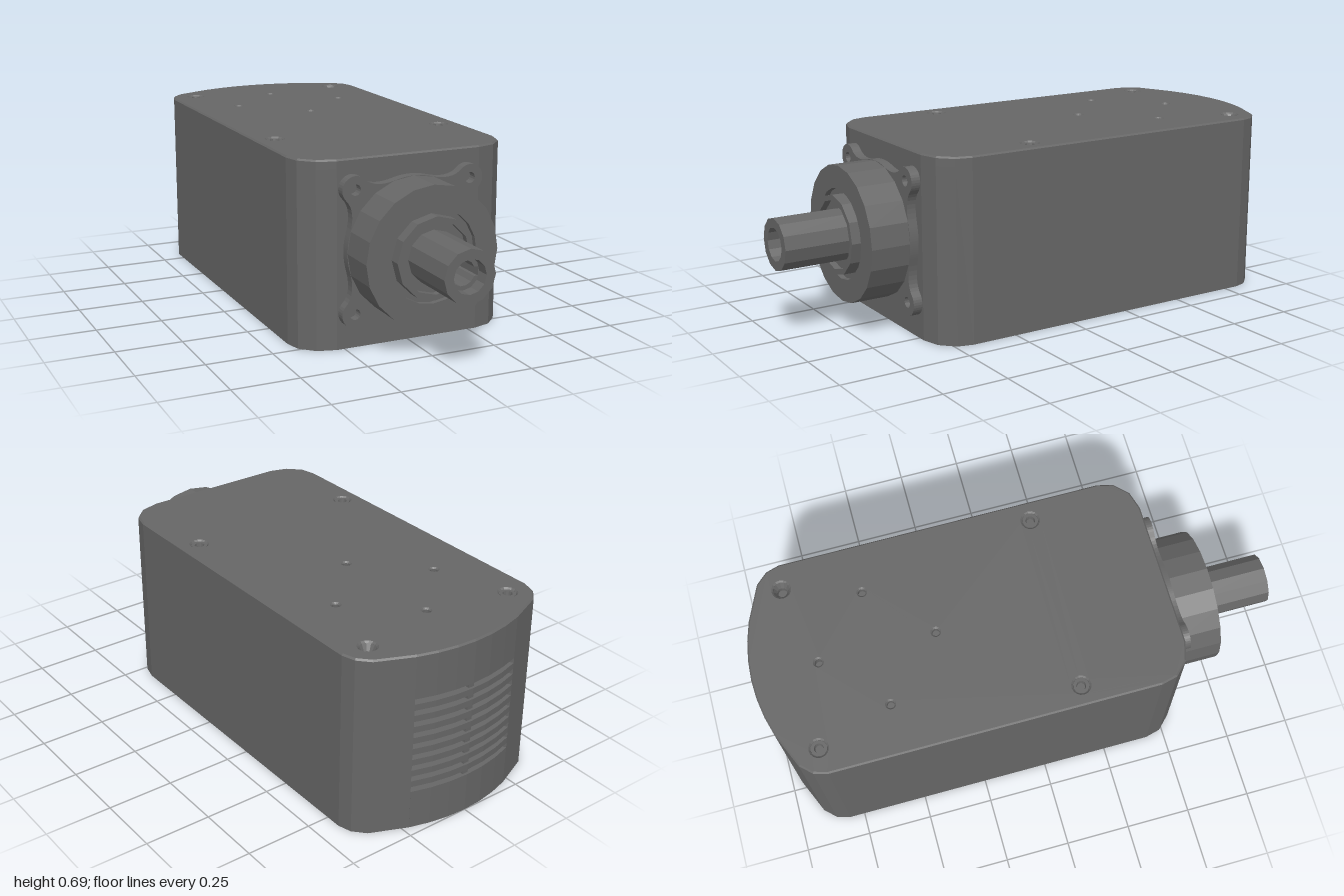
import * as THREE from 'three';

const mat = new THREE.MeshStandardMaterial({ color: 0x666666, flatShading: true, side: THREE.DoubleSide });
const V = (x, z) => new THREE.Vector2(x, z);
const AXIS_Y = 0.36, TOP = 0.69, WALL_TOP = 0.656, BEVEL = 0.006;

// Footprint: one side from front to back, and the curved vent panel at the back
const sidePts = [[0.28, 0.56], [0.35, 0.54], [0.4, 0.49], [0.415, 0.43], [0.415, -0.81],
  [0.4, -0.86], [0.36, -0.903], [0.225, -0.962]];
const backPts = [0.225, 0.15, 0.075, 0, -0.075, -0.15, -0.225].map(x => [x, -1 + 0.75 * x * x]);
const mirror = pts => pts.map(([x, z]) => [-x, z]).reverse();
const shell = [...mirror(sidePts), ...sidePts];
const outline = [...sidePts, ...backPts.slice(1, -1), ...mirror(sidePts)];
const inset = (pts, d) => pts.map(([x, z]) =>
  [x * (0.415 - d) / 0.415, -0.22 + (z + 0.22) * (0.78 - d) / 0.78]);

// Shapes on the ground plan are drawn with y = -z, then raised upright
const plan = pts => new THREE.Shape(pts.map(([x, z]) => V(x, -z)));
const band = pts => plan([...pts, ...inset(pts, 0.03).reverse()]);

function circleHole(shape, x, y, r) {
  shape.holes.push(new THREE.Path().absarc(x, y, r, 0, Math.PI * 2, true));
}

function add(group, name, geo, x = 0, y = 0, z = 0) {
  const mesh = new THREE.Mesh(geo, mat);
  mesh.name = name;
  mesh.position.set(x, y, z);
  group.add(mesh);
}

function rise(shape, y0, y1, bevel = 0) {
  const geo = new THREE.ExtrudeGeometry(shape, {
    depth: y1 - y0 - 2 * bevel, curveSegments: 8, bevelEnabled: bevel > 0,
    bevelThickness: bevel, bevelSize: bevel, bevelOffset: -bevel, bevelSegments: 1,
  });
  return geo.rotateX(-Math.PI / 2).translate(0, y0 + bevel, 0);
}

const lathe = (pts, sides) => new THREE.LatheGeometry(pts.map(p => V(...p)), sides);
const latheZ = (pts, sides) => lathe(pts, sides).rotateX(Math.PI / 2);

const screws = [[-0.315, -0.82], [0.315, -0.82], [-0.34, 0.145], [0.34, 0.145]];
const mounts = [[-0.225, -0.535], [0.225, -0.535], [0, -0.31], [0, -0.75]];

function buildHousing() {
  const g = new THREE.Group();
  g.name = 'housing';
  add(g, 'sideAndFrontWall', rise(band(shell), 0, WALL_TOP));

  // Back panel: strips separated by nine cooling slots, with a rib down the middle
  let y = 0;
  for (let i = 0; i <= 9; i++) {
    const end = i < 9 ? 0.15 + 0.044 * i : WALL_TOP;
    add(g, 'ventStrip', rise(band(backPts), y, end));
    y = end + 0.02;
  }
  add(g, 'ventRib', new THREE.BoxGeometry(0.024, 0.4, 0.025), 0, 0.335, -0.978);
  return g;
}

function buildLid() {
  const g = new THREE.Group();
  g.name = 'lid';
  const shape = plan(outline);
  // The bevel widens each hole at the surface
  screws.forEach(([x, z]) => circleHole(shape, x, -z, 0.037 - BEVEL));
  mounts.forEach(([x, z]) => circleHole(shape, x, -z, 0.02 - BEVEL));
  add(g, 'lidPlate', rise(shape, WALL_TOP - BEVEL, TOP, BEVEL));

  screws.forEach(([x, z], i) => {
    // One countersink is left without its screw
    const profile = i === 1
      ? [[0, 0.64], [0.018, 0.64], [0.018, 0.66], [0.031, 0.684]]
      : [[0.03, 0.65], [0.03, 0.685], [0.018, 0.685], [0.015, 0.668], [0, 0.668]];
    add(g, i === 1 ? 'countersink' : 'lidScrew', lathe(profile, 12), x, 0, z);
  });
  mounts.slice(0, 3).forEach(([x, z]) =>
    add(g, 'blindHoleFloor', new THREE.CylinderGeometry(0.018, 0.018, 0.01, 10), x, 0.66, z));
  return g;
}

function buildBase() {
  const g = new THREE.Group();
  g.name = 'base';
  // The straight front edge leaves a gap behind the front wall
  const shape = plan(inset(outline, 0.025).map(([x, z]) => [x, Math.min(z, 0.45)]));
  circleHole(shape, 0, 0.55, 0.11);
  const holes = [...mounts, [-0.31, -0.49], [0.31, -0.49], ...screws.slice(2)];
  holes.forEach(([x, z], i) => circleHole(shape, x, -z, i === 3 ? 0.016 : 0.028));
  add(g, 'basePlate', rise(shape, 0.008, 0.045));
  add(g, 'centreRecessFloor', new THREE.CylinderGeometry(0.112, 0.112, 0.01, 16), 0, 0.039, -0.55);
  holes.forEach(([x, z], i) => {
    if (i === 3) return; // this hole passes right through
    add(g, 'baseHoleFloor', new THREE.CylinderGeometry(0.03, 0.03, 0.01, 10), x, 0.035, z);
  });
  return g;
}

function buildOutput() {
  const g = new THREE.Group();
  g.name = 'outputDrive';

  // Round flange with four ears blended into it
  const flange = new THREE.Shape();
  const R = 0.255, ear = 0.318, r = 0.05;
  for (let i = 0; i < 4; i++) {
    const a = Math.PI / 4 + i * Math.PI / 2;
    const at = (u, v) => [u * Math.cos(a) - v * Math.sin(a), u * Math.sin(a) + v * Math.cos(a)];
    const start = at(R * Math.cos(Math.PI / 6), -R / 2);
    if (i === 0) flange.moveTo(...start);
    flange.quadraticCurveTo(...at(0.265, -r), ...at(ear, -r));
    flange.absarc(...at(ear, 0), r, a - Math.PI / 2, a + Math.PI / 2, false);
    flange.quadraticCurveTo(...at(0.265, r), ...at(R * Math.cos(Math.PI / 6), R / 2));
    flange.absarc(0, 0, R, a + Math.PI / 6, a + Math.PI / 3, false);
    circleHole(flange, ...at(ear, 0), 0.02);
  }
  add(g, 'flange', new THREE.ExtrudeGeometry(flange,
    { depth: 0.04, bevelEnabled: false, curveSegments: 8 }), 0, 0, 0.555);

  add(g, 'boss', latheZ([[0.255, 0.59], [0.255, 0.745], [0.17, 0.745], [0.17, 0.725], [0.1, 0.725]], 20));
  add(g, 'bearingRing', latheZ([[0.15, 0.72], [0.15, 0.77], [0.13, 0.77], [0.13, 0.745], [0.08, 0.745]], 12));
  add(g, 'shaft', latheZ([[0.097, 0.72], [0.097, 1], [0.062, 1], [0.062, 0.8], [0, 0.8]], 12));

  // Sleeve inside the shaft with a keyed bore
  const sleeve = new THREE.Shape().absarc(0, 0, 0.064, 0, Math.PI * 2, false);
  const bore = new THREE.Path().absarc(0, 0, 0.046, 0.35, Math.PI * 2 - 0.35, false);
  bore.lineTo(0.057, -0.016);
  bore.lineTo(0.057, 0.016);
  bore.closePath();
  sleeve.holes.push(bore);
  add(g, 'keyedSleeve', new THREE.ExtrudeGeometry(sleeve,
    { depth: 0.14, bevelEnabled: false, curveSegments: 6 }), 0, 0, 0.81);

  g.position.y = AXIS_Y;
  return g;
}

export function createModel() {
  const model = new THREE.Group();
  model.name = 'motorUnit';
  model.add(buildHousing(), buildLid(), buildBase(), buildOutput());
  return model;
}
